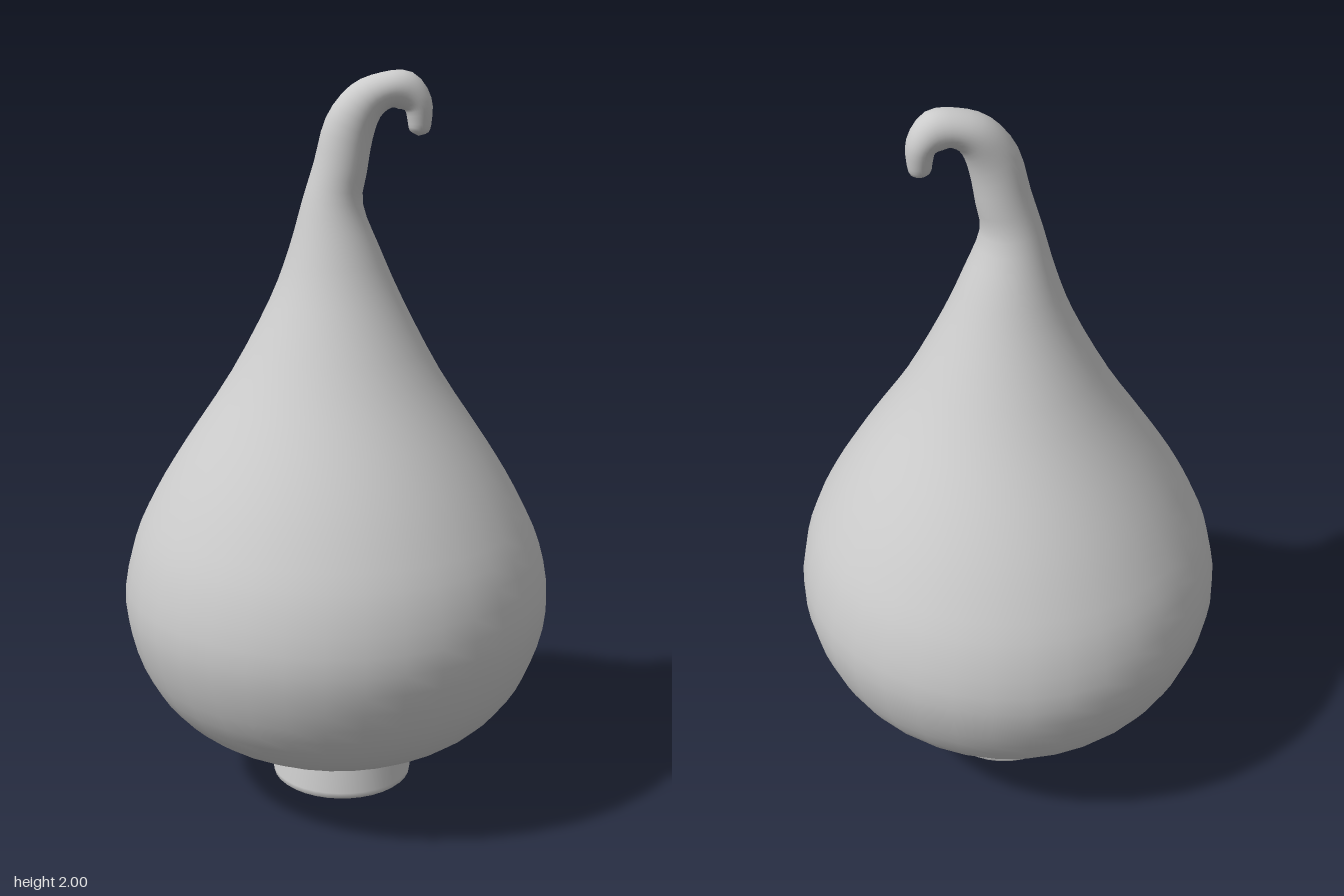
import * as THREE from 'three';

const material = new THREE.MeshStandardMaterial({ color: 0xcccccc, roughness: 0.8 });

// Cross-sections: centre x, centre y, radius in the bend plane, radius in z, tilt in degrees
const SECTIONS = [
  [0, 0.13, 0, 0, 0],
  [0, 0.14, 0.2, 0.21, 0],
  [0, 0.2, 0.365, 0.38, 0],
  [0, 0.28, 0.475, 0.485, 0],
  [0, 0.4, 0.55, 0.56, 0],
  [0, 0.56, 0.588, 0.6, 0],
  [0, 0.72, 0.563, 0.575, 0],
  [0, 0.86, 0.5, 0.51, 0],
  [0, 1.0, 0.416, 0.425, 0],
  [0, 1.2, 0.284, 0.288, 0],
  [0, 1.4, 0.178, 0.178, 0],
  [-0.005, 1.54, 0.12, 0.12, 0],
  [-0.01, 1.66, 0.08, 0.08, 4],
  [0.01, 1.75, 0.071, 0.068, 12],
  [0.033, 1.85, 0.067, 0.062, 24],
  [0.075, 1.918, 0.056, 0.06, 47],
  [0.13, 1.946, 0.047, 0.055, 75],
  [0.18, 1.944, 0.05, 0.05, 110],
  [0.213, 1.91, 0.038, 0.043, 155],
  [0.218, 1.87, 0.032, 0.034, 180],
  [0.217, 1.84, 0.025, 0.024, 185],
  [0.216, 1.828, 0, 0, 185],
];
const SIDES = 36, STEPS = 3;

// Smoothly interpolates the sections and skins them as one tapering, curling form
function bulbGeometry() {
  const path = new THREE.CatmullRomCurve3(SECTIONS.map(s => new THREE.Vector3(s[0], s[1], s[4])));
  const size = new THREE.CatmullRomCurve3(SECTIONS.map(s => new THREE.Vector3(s[2], s[3], 0)));
  path.curveType = size.curveType = 'catmullrom';
  const rings = (SECTIONS.length - 1) * STEPS;
  const positions = [], index = [];
  for (let i = 0; i <= rings; i++) {
    const c = path.getPoint(i / rings), r = size.getPoint(i / rings);
    const tilt = THREE.MathUtils.degToRad(c.z);
    const z0 = 0.01 * THREE.MathUtils.smoothstep(c.y, 1.4, 1.9);
    for (let j = 0; j < SIDES; j++) {
      const a = (j / SIDES) * Math.PI * 2;
      const u = Math.max(r.x, 0) * Math.cos(a), w = Math.max(r.y, 0) * Math.sin(a);
      positions.push(c.x + u * Math.cos(tilt), c.y - u * Math.sin(tilt), z0 + w);
    }
  }
  for (let i = 0; i < rings; i++) {
    for (let j = 0; j < SIDES; j++) {
      const k = (j + 1) % SIDES;
      const a = i * SIDES + j, b = i * SIDES + k, c = a + SIDES, d = b + SIDES;
      if (i < rings - 1) index.push(a, c, d);
      else index.push(a, c, b);
      if (i > 0 && i < rings - 1) index.push(a, d, b);
    }
  }
  const geometry = new THREE.BufferGeometry();
  geometry.setAttribute('position', new THREE.Float32BufferAttribute(positions, 3));
  geometry.setIndex(index);
  geometry.computeVertexNormals();
  return geometry;
}

// Short flared foot: wall with a tiny bevel and a flat underside
function footGeometries() {
  const wall = [[0.19, 0], [0.197, 0.006], [0.199, 0.02], [0.178, 0.14], [0.17, 0.2]];
  return [
    new THREE.LatheGeometry(wall.map(p => new THREE.Vector2(...p)), 36),
    new THREE.CircleGeometry(0.19, 36).rotateX(Math.PI / 2),
  ];
}

export function createModel() {
  const model = new THREE.Group();
  model.name = 'curledBulb';

  const bulb = new THREE.Mesh(bulbGeometry(), material);
  bulb.name = 'bulbWithCurledTip';
  model.add(bulb);

  const foot = new THREE.Group();
  foot.name = 'foot';
  footGeometries().forEach((geometry, i) => {
    const mesh = new THREE.Mesh(geometry, material);
    mesh.name = ['footWall', 'footUnderside'][i];
    foot.add(mesh);
  });
  foot.position.set(0.02, 0, -0.03);
  model.add(foot);

  return model;
}
